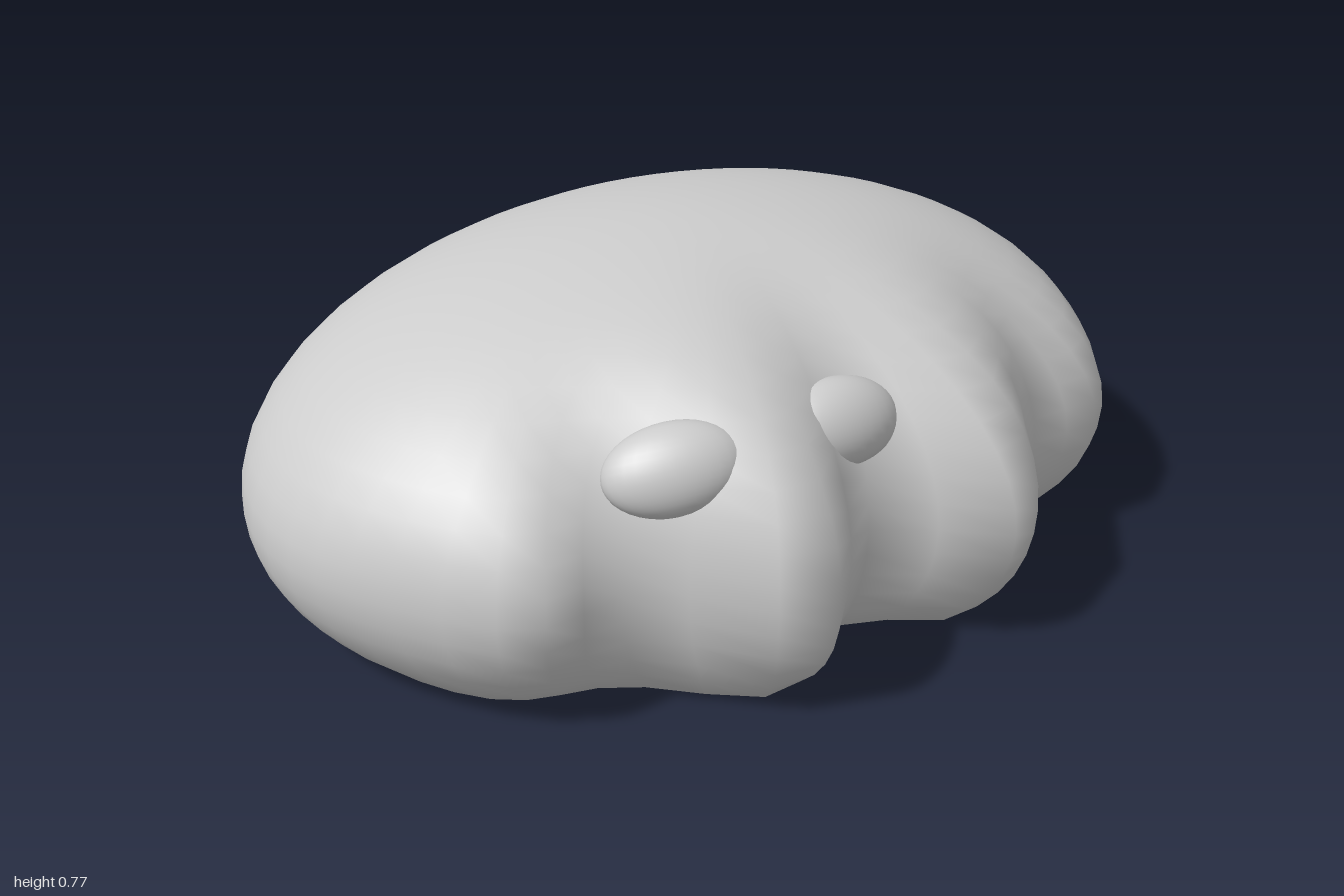
import * as THREE from 'three';
import { mergeVertices } from 'three/addons/utils/BufferGeometryUtils.js';

export function createModel() {
  const model = new THREE.Group();
  const clay = new THREE.MeshStandardMaterial({ color: 0xcccccc });
  clay.name = 'paleGrey';

  // Body: flattened ellipsoid with a flat underside and vertical lobes on the front
  const sphere = new THREE.SphereGeometry(1, 56, 28);
  const pos = sphere.attributes.position;
  for (let i = 0; i < pos.count; i++) {
    const x = pos.getX(i), y = pos.getY(i), front = Math.max(0, pos.getZ(i));
    const lobe = -0.11 * front * front * (Math.cos(12 * x) + 0.1);
    pos.setXYZ(i, x, Math.max(0, 0.28 + 0.495 * y), -0.035 + 0.74 * pos.getZ(i) + lobe);
  }
  sphere.deleteAttribute('uv');
  sphere.deleteAttribute('normal');
  const bodyGeometry = mergeVertices(sphere, 1e-5);
  bodyGeometry.computeVertexNormals();
  const body = new THREE.Mesh(bodyGeometry, clay);
  body.name = 'body';
  model.add(body);

  // Eyes: small ellipsoids sunk into two of the grooves
  const eyeGeometry = new THREE.SphereGeometry(1, 32, 20);
  const addEye = (name, position, yaw, roll) => {
    const eye = new THREE.Mesh(eyeGeometry, clay);
    eye.name = name;
    eye.scale.set(0.14, 0.09, 0.07);
    eye.position.set(...position);
    eye.rotation.set(-0.49, yaw, roll, 'YXZ');
    model.add(eye);
  };
  addEye('leftEye', [-0.035, 0.505, 0.52], 0, -0.1);
  addEye('rightEye', [-0.41, 0.51, 0.5], -0.49, 0.15);

  return model;
}
